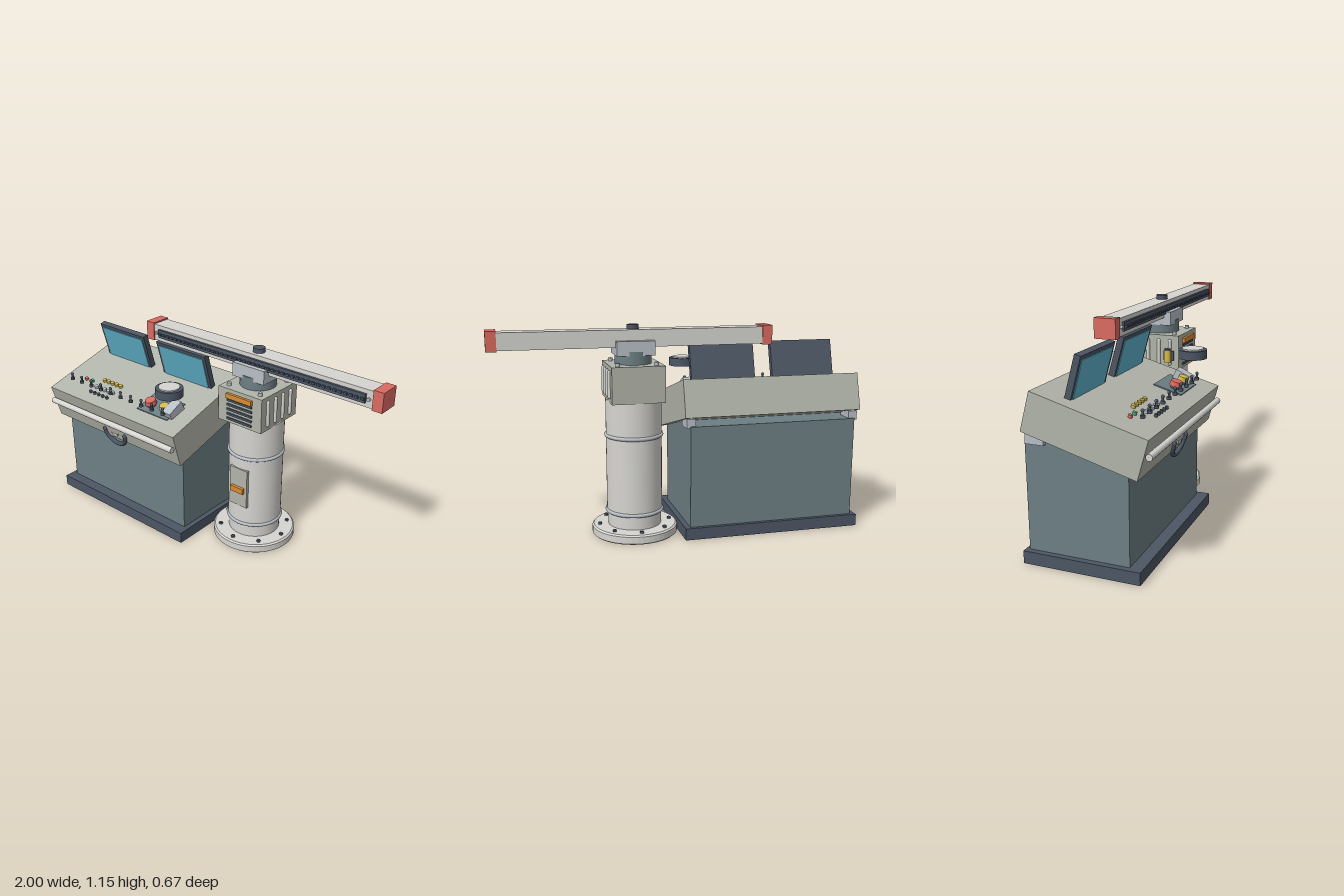
import * as THREE from 'three';

const mat = (color) => new THREE.MeshStandardMaterial({ color });
const M = {
  shell: mat(0xb2b5aa), cabinet: mat(0x6d7f84), dark: mat(0x4c5664), light: mat(0xd6d5d1), steel: mat(0xb9bfc6),
  red: mat(0xd96b62), cyan: mat(0x62b6d0), orange: mat(0xd98c33), yellow: mat(0xd6bb4c), green: mat(0x46b583),
};

function add(parent, name, geo, material, x = 0, y = 0, z = 0) {
  const m = new THREE.Mesh(geo, material);
  m.name = name;
  m.position.set(x, y, z);
  parent.add(m);
  return m;
}

// box given by its minimum and maximum corners
function span(parent, name, material, [x0, x1], [y0, y1], [z0, z1]) {
  return add(parent, name, new THREE.BoxGeometry(x1 - x0, y1 - y0, z1 - z0), material,
    (x0 + x1) / 2, (y0 + y1) / 2, (z0 + z1) / 2);
}

const cyl = (r, h, n = 32, r2 = r) => new THREE.CylinderGeometry(r2, r, h, n);

function group(parent, name, x = 0, y = 0, z = 0) {
  const g = new THREE.Group();
  g.name = name;
  g.position.set(x, y, z);
  parent.add(g);
  return g;
}

function buildConsole(root) {
  const g = group(root, 'console');
  span(g, 'consoleBase', M.dark, [-1, 0], [0, 0.065], [-0.33, 0.28]);
  span(g, 'cabinet', M.cabinet, [-0.97, -0.03], [0.065, 0.62], [-0.31, 0.216]);
  for (const x of [-0.965, -0.035])
    span(g, 'deskBracket', M.steel, [x - 0.025, x + 0.025], [0.61, 0.66], [-0.297, -0.2]);

  // tilted desk; its children use desk-local y and z
  const desk = group(g, 'desk', -0.5, 0.687, 0.005);
  desk.rotation.x = 0.272;
  const top = 0.1025;
  const lz = (z) => (z - 0.032) / 0.964; // plan depth to desk depth
  add(desk, 'deskBody', new THREE.BoxGeometry(1, 0.205, 0.606), M.shell);

  // monitors
  for (const x of [-0.237, 0.232]) {
    span(desk, 'monitor', M.dark, [x - 0.183, x + 0.183], [0.07, 0.318], [-0.16, -0.127]);
    span(desk, 'screen', M.cyan, [x - 0.165, x + 0.165], [0.09, 0.297], [-0.135, -0.123]);
  }

  // pull handle on the front
  const handle = group(desk, 'pullHandle', 0, -0.058, 0.305);
  const arc = add(handle, 'handleArc', new THREE.TorusGeometry(0.082, 0.013, 10, 28, Math.PI), M.dark);
  arc.rotation.z = Math.PI;
  for (const s of [-1, 1]) add(handle, 'handleEnd', new THREE.SphereGeometry(0.014, 12, 8), M.dark, s * 0.082, 0, 0);
  const boss = add(handle, 'handleBoss', new THREE.CylinderGeometry(0.027, 0.027, 0.012, 20, 1, false, -Math.PI / 2, Math.PI),
    M.light, 0, 0, 0);
  boss.rotation.x = Math.PI / 2;

  // small lamps and keys
  const lamp = (name, m, x, z, r) => add(desk, name, cyl(r, 0.016, 14), m, x + 0.5, top + 0.006, lz(z));
  lamp('redLamp', M.red, -0.845, 0.17, 0.011);
  lamp('greenLamp', M.green, -0.795, 0.17, 0.011);
  for (let i = 0; i < 5; i++) {
    const x = -0.725 + i * 0.034;
    lamp('yellowLamp', M.yellow, x, 0.133, 0.012);
    lamp('key', M.steel, x, 0.2, 0.012);
    lamp('lowerKey', M.dark, x, 0.247, 0.009);
  }

  // push buttons on a plate
  span(desk, 'buttonPlate', M.cabinet, [0.145, 0.375], [top - 0.01, top + 0.006], [lz(0.085), lz(0.235)]);
  for (const [m, x, r] of [[M.red, 0.207, 0.033], [M.yellow, 0.312, 0.029]]) {
    add(desk, 'buttonCollar', cyl(r * 0.75, 0.02, 20), M.dark, x, top + 0.01, lz(0.178));
    add(desk, 'pushButton', cyl(r, 0.026, 24, r * 0.9), m, x, top + 0.032, lz(0.178));
  }

  // toggle switches
  for (let i = 0; i < 10; i++) {
    const t = group(g, 'toggleSwitch', -0.882 + i * 0.082, 0.77, 0.248);
    add(t, 'toggleBase', cyl(0.012, 0.014, 14), M.dark);
    add(t, 'toggleStem', cyl(0.006, 0.025, 10), M.dark, 0, 0.015, 0);
    add(t, 'toggleTip', new THREE.SphereGeometry(0.009, 12, 8), M.dark, 0, 0.029, 0);
  }

  // control dial with its tilted block
  const block = add(g, 'dialBlock', new THREE.BoxGeometry(0.06, 0.09, 0.105), M.steel, -0.135, 0.753, 0.167);
  block.rotation.x = 0.45;
  add(g, 'dial', cyl(0.076, 0.046, 36), M.dark, -0.12, 0.899, 0.215);
  add(g, 'dialCap', cyl(0.058, 0.01, 36), M.light, -0.12, 0.924, 0.215);

  // hand rail
  const rail = add(g, 'handRail', cyl(0.017, 0.98, 18), M.light, -0.5, 0.622, 0.322);
  rail.rotation.z = Math.PI / 2;
}

function buildColumn(root) {
  const g = group(root, 'column', 0.235, 0, -0.1);
  // flange with bolts
  const flange = [[0, 0], [0.228, 0], [0.235, 0.006], [0.235, 0.044], [0.226, 0.052], [0, 0.052]].map((p) => new THREE.Vector2(...p));
  const f = add(g, 'flange', new THREE.LatheGeometry(flange, 48).toNonIndexed(), M.light);
  f.geometry.computeVertexNormals();
  for (let i = 0; i < 8; i++) {
    const a = (i * Math.PI) / 4;
    add(g, 'flangeBolt', cyl(0.011, 0.014, 6), M.dark, 0.195 * Math.sin(a), 0.056, 0.195 * Math.cos(a));
  }
  add(g, 'shaftFoot', cyl(0.146, 0.09, 48), M.light, 0, 0.092, 0);
  add(g, 'shaft', cyl(0.152, 0.63, 48), M.light, 0, 0.44, 0);
  for (const y of [0.133, 0.555])
    add(g, 'shaftRing', new THREE.TorusGeometry(0.15, 0.011, 10, 48), M.steel, 0, y, 0).rotation.x = Math.PI / 2;

  // service door
  span(g, 'serviceDoor', M.shell, [-0.059, 0.059], [0.25, 0.485], [0.12, 0.157]);
  span(g, 'doorHandle', M.orange, [-0.043, 0.043], [0.34, 0.372], [0.157, 0.174]);

  // square housing with slats, side fins and corner bolts
  span(g, 'housing', M.shell, [-0.143, 0.143], [0.747, 0.942], [-0.157, 0.157]);
  span(g, 'housingLabel', M.orange, [-0.083, 0.083], [0.892, 0.92], [0.155, 0.172]);
  for (let i = 0; i < 5; i++)
    add(g, 'slat', new THREE.BoxGeometry(0.165, 0.012, 0.012), M.dark, 0, 0.88 - i * 0.027, 0.159);
  for (const s of [-1, 1]) {
    for (let i = 0; i < 4; i++)
      add(g, 'sideFin', new THREE.CapsuleGeometry(0.0105, 0.13, 6, 12), M.light, s * 0.145, 0.845, 0.104 - i * 0.066);
    for (const t of [-1, 1]) add(g, 'cornerBolt', cyl(0.012, 0.018, 12), M.steel, s * 0.103, 0.95, t * 0.117);
  }
  // warning lamp on the inner side
  span(g, 'lampMount', M.dark, [-0.155, -0.14], [0.8, 0.855], [0.07, 0.13]);
  add(g, 'warningLamp', cyl(0.02, 0.07, 16), M.yellow, -0.168, 0.827, 0.1);
  add(g, 'warningLampCap', cyl(0.018, 0.008, 16), M.dark, -0.168, 0.866, 0.1);

  // turntable and saddle
  add(g, 'turntable', cyl(0.099, 0.07, 40), M.cabinet, 0, 0.976, 0);
  span(g, 'saddle', M.steel, [-0.103, 0.103], [0.99, 1.067], [-0.092, 0.092]);
}

function buildArm(root) {
  const g = group(root, 'arm');
  span(g, 'beam', M.light, [-0.5, 0.97], [1.032, 1.124], [-0.155, -0.048]);
  for (const [a, b] of [[-0.53, -0.475], [0.945, 1]])
    span(g, 'endCap', M.red, [a, b], [1.027, 1.132], [-0.159, -0.042]);
  span(g, 'frontTrack', M.dark, [-0.435, 0.908], [1.055, 1.102], [-0.05, -0.035]);
  for (let i = 0; i < 44; i++)
    add(g, 'trackTooth', new THREE.BoxGeometry(0.018, 0.012, 0.012), M.dark, -0.42 + i * 0.0306, 1.078, -0.031);
  for (const x of [-0.452, 0.925])
    add(g, 'trackScrew', cyl(0.009, 0.02, 12), M.steel, x, 1.078, -0.045).rotation.x = Math.PI / 2;
  add(g, 'pivotCap', cyl(0.032, 0.026, 24), M.dark, 0.235, 1.135, -0.1);
}

export function createModel() {
  const root = new THREE.Group();
  root.name = 'controlStation';
  buildConsole(root);
  buildColumn(root);
  buildArm(root);
  return root;
}
